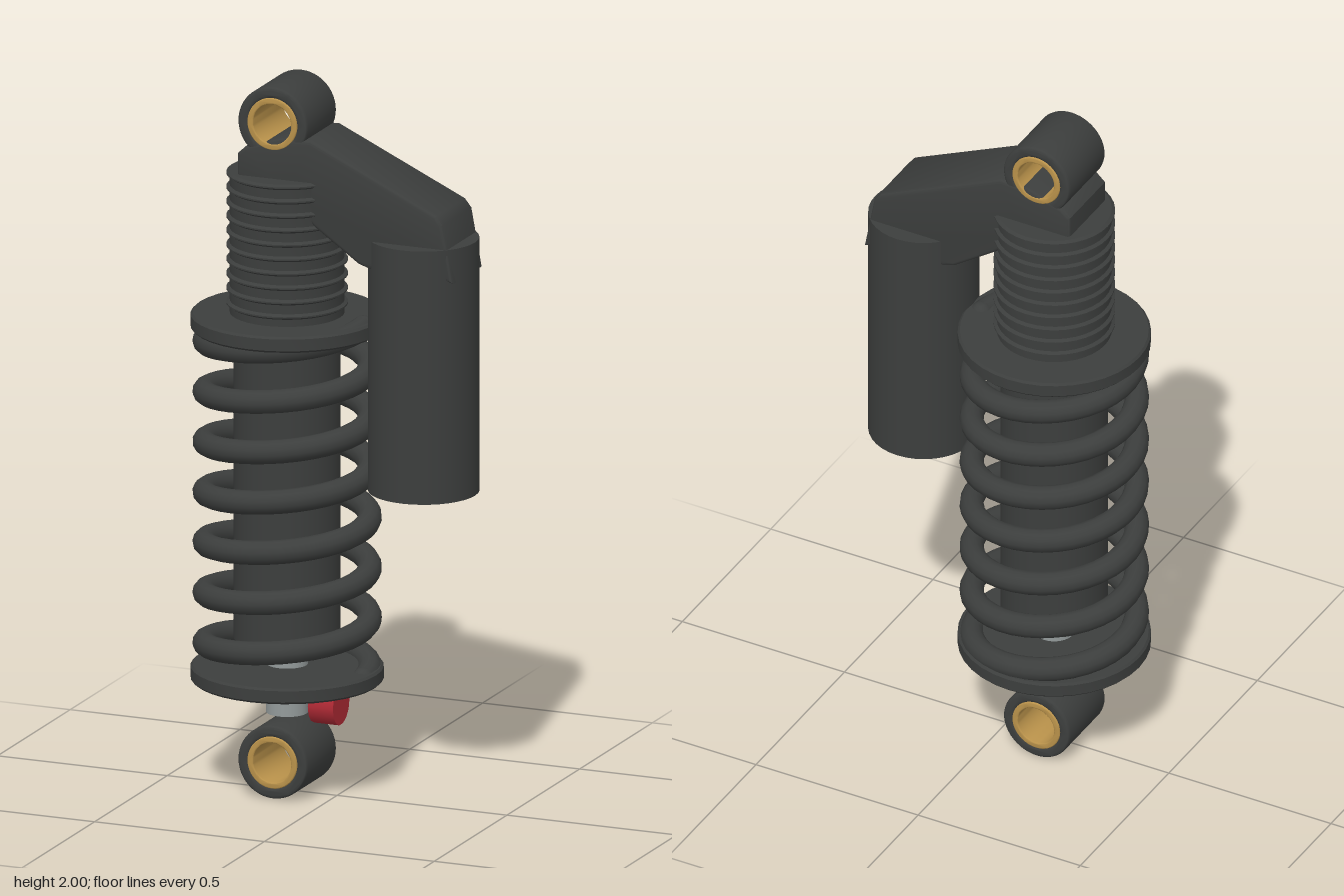
import * as THREE from 'three';
import { toCreasedNormals } from 'three/addons/utils/BufferGeometryUtils.js';

const AXIS = -0.147; // x of the damper axis
const mat = (color, side = THREE.FrontSide) => new THREE.MeshStandardMaterial({ color, side });
const dark = mat(0x3c3e3d);
const steel = mat(0x939a9a);
const gold = mat(0xb8914a);
const red = mat(0xb02a35);

// Helical path: rises while turning from left to right across the front
class Helix extends THREE.Curve {
  constructor(radius, y0, y1, turns) {
    super();
    Object.assign(this, { radius, y0, y1, turns });
  }
  getPoint(t, target = new THREE.Vector3()) {
    const a = -t * this.turns * Math.PI * 2;
    return target.set(this.radius * Math.cos(a), this.y0 + (this.y1 - this.y0) * t, this.radius * Math.sin(a));
  }
}

// Profile extruded along z, centred on z = 0, with rounded rims
function slab(shape, halfDepth, bevel, curveSegments = 24) {
  const geo = new THREE.ExtrudeGeometry(shape, {
    depth: 2 * (halfDepth - bevel), bevelEnabled: bevel > 0, bevelThickness: bevel,
    bevelSize: bevel, bevelOffset: -bevel, bevelSegments: 3, curveSegments,
  });
  geo.translate(0, 0, -(halfDepth - bevel));
  return toCreasedNormals(geo, 0.6);
}

function ring(outer, inner) {
  const shape = new THREE.Shape().absarc(0, 0, outer, 0, Math.PI * 2);
  shape.holes.push(new THREE.Path().absarc(0, 0, inner, 0, Math.PI * 2, true));
  return shape;
}

export function createModel() {
  const model = new THREE.Group();
  model.name = 'shockAbsorber';

  const add = (name, geo, material, x = AXIS, y = 0) => {
    const mesh = new THREE.Mesh(geo, material);
    mesh.name = name;
    mesh.position.set(x, y, 0);
    model.add(mesh);
    return mesh;
  };
  const cylinder = (name, r, y0, y1, material, x = AXIS, sides = 36) =>
    add(name, new THREE.CylinderGeometry(r, r, y1 - y0, sides), material, x, (y0 + y1) / 2);
  // Disc with softened rims
  const disc = (name, r, y0, y1) => {
    const b = 0.006;
    const pts = [[0, y0], [r - b, y0], [r, y0 + b], [r, y1 - b], [r - b, y1], [0, y1]];
    const geo = new THREE.LatheGeometry(pts.map(p => new THREE.Vector2(...p)), 36);
    add(name, toCreasedNormals(geo, 0.5), dark);
  };

  // Mounting eyes with bushings
  for (const [name, y] of [['upper', 1.898], ['lower', 0.102]]) {
    add(name + 'Eye', slab(ring(0.102, 0.071), 0.103, 0.008), dark, AXIS, y);
    add(name + 'Bushing', slab(ring(0.073, 0.056), 0.105, 0.003), gold, AXIS, y);
  }

  // Damper body and shaft
  cylinder('damperBody', 0.145, 0.43, 1.36, dark);
  cylinder('shaft', 0.057, 0.22, 0.5, steel);

  // Threaded collar
  const y0 = 1.34, y1 = 1.745, ridges = 10, pitch = (y1 - y0) / ridges;
  const thread = [new THREE.Vector2(0, y0)];
  for (let i = 0; i < ridges; i++) {
    const y = y0 + i * pitch;
    for (const [r, f] of [[0.156, 0], [0.156, 0.62], [0.165, 0.76], [0.165, 0.86], [0.156, 1]]) {
      thread.push(new THREE.Vector2(r, y + f * pitch));
    }
  }
  thread.push(new THREE.Vector2(0, y1));
  add('threadedCollar', toCreasedNormals(new THREE.LatheGeometry(thread, 36), 0.5), dark);

  // Spring seats
  disc('upperSpringSeat', 0.262, 1.3, 1.345);
  disc('lowerSpringSeat', 0.262, 0.312, 0.356);

  // Coil spring with rounded ends
  const helix = new Helix(0.224, 0.335, 1.325, 7);
  add('spring', new THREE.TubeGeometry(helix, 252, 0.033, 12), dark);
  for (const t of [0, 1]) {
    const p = helix.getPoint(t);
    const end = add('springEnd', new THREE.SphereGeometry(0.033, 12, 8), dark, AXIS + p.x, p.y);
    end.position.z = p.z;
  }

  // Bridge from the upper eye to the reservoir
  const profile = [
    [-0.25, 1.73], [-0.25, 1.805], [-0.225, 1.828], [-0.12, 1.86], [-0.035, 1.862],
    [0.335, 1.692], [0.354, 1.668], [0.384, 1.505], [0.34, 1.52], [0.14, 1.52],
    [0.105, 1.532], [-0.025, 1.622], [-0.11, 1.7],
  ];
  const bridge = new THREE.Shape(profile.map(p => new THREE.Vector2(...p)));
  add('bridge', slab(bridge, 0.104, 0.01), dark, 0);

  // Reservoir
  cylinder('reservoir', 0.151, 0.888, 1.6, dark, 0.255);

  // Rebound adjuster knob
  const knob = cylinder('adjusterKnob', 0.057, 0.22, 0.294, red, -0.025, 14);
  knob.rotation.z = Math.PI / 2;

  return model;
}
